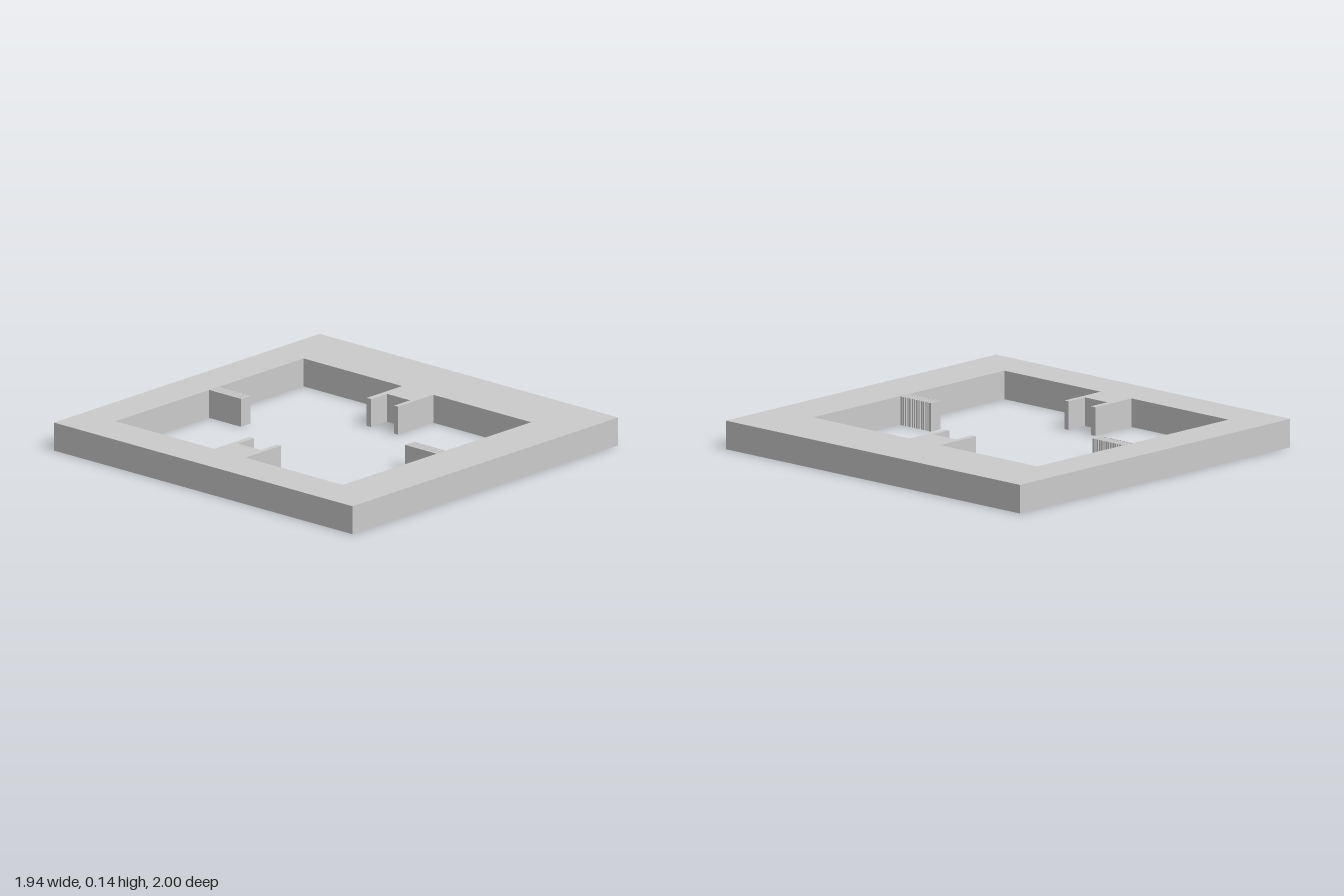
import * as THREE from 'three';

const HEIGHT = 0.145;
const material = new THREE.MeshStandardMaterial({ color: 0xcccccc, flatShading: true });

function box(name, x0, x1, z0, z1) {
  const mesh = new THREE.Mesh(new THREE.BoxGeometry(x1 - x0, HEIGHT, z1 - z0), material);
  mesh.name = name;
  mesh.position.set((x0 + x1) / 2, HEIGHT / 2, (z0 + z1) / 2);
  return mesh;
}

// Thin spine with a row of fine teeth of varying thickness, standing on a wall at z0 and running to z1
function createComb(name, z0, z1) {
  const comb = new THREE.Group();
  comb.name = name;
  comb.add(box('combSpine', -0.065, -0.057, Math.min(z0, z1), Math.max(z0, z1)));
  const teeth = 14;
  const dir = Math.sign(z1 - z0);
  const pitch = Math.abs(z1 - z0) / teeth;
  for (let i = 0; i < teeth; i++) {
    const thickness = pitch * (i % 3 === 1 ? 0.75 : 0.5);
    const outer = z0 + dir * pitch * (i + 1);
    const inner = outer - dir * thickness;
    comb.add(box('combTooth', -0.057, 0.004, Math.min(inner, outer), Math.max(inner, outer)));
  }
  return comb;
}

export function createModel() {
  const model = new THREE.Group();
  model.name = 'slottedFrame';

  // Frame outline, drawn in x and z
  const toVectors = (points) => points.map(([x, z]) => new THREE.Vector2(x, -z));
  const outline = new THREE.Shape(toVectors([[-0.972, 1], [0.972, 1], [0.972, -1], [-0.972, -1]]));

  // Opening with a two-pronged bracket on each side
  const left = 0.625, right = -0.75, back = -0.79, front = 0.734;
  const bracket = (wall, tip, seat) => [
    [wall, -0.13], [tip, -0.13], [tip, -0.1], [seat, -0.1],
    [seat, 0.053], [tip, 0.053], [tip, 0.08], [wall, 0.08],
  ];
  outline.holes.push(new THREE.Path(toVectors([
    [right, back], ...bracket(right, -0.49, -0.608), [right, front],
    [left, front], ...bracket(left, 0.366, 0.482).reverse(), [left, back],
  ])));

  const geometry = new THREE.ExtrudeGeometry(outline, { depth: HEIGHT, bevelEnabled: false });
  geometry.rotateX(-Math.PI / 2);
  const frame = new THREE.Mesh(geometry, material);
  frame.name = 'frameWithBrackets';
  model.add(frame);

  // Toothed combs on the back and front walls
  model.add(createComb('backComb', back, -0.577));
  model.add(createComb('frontComb', front, 0.521));
  return model;
}
